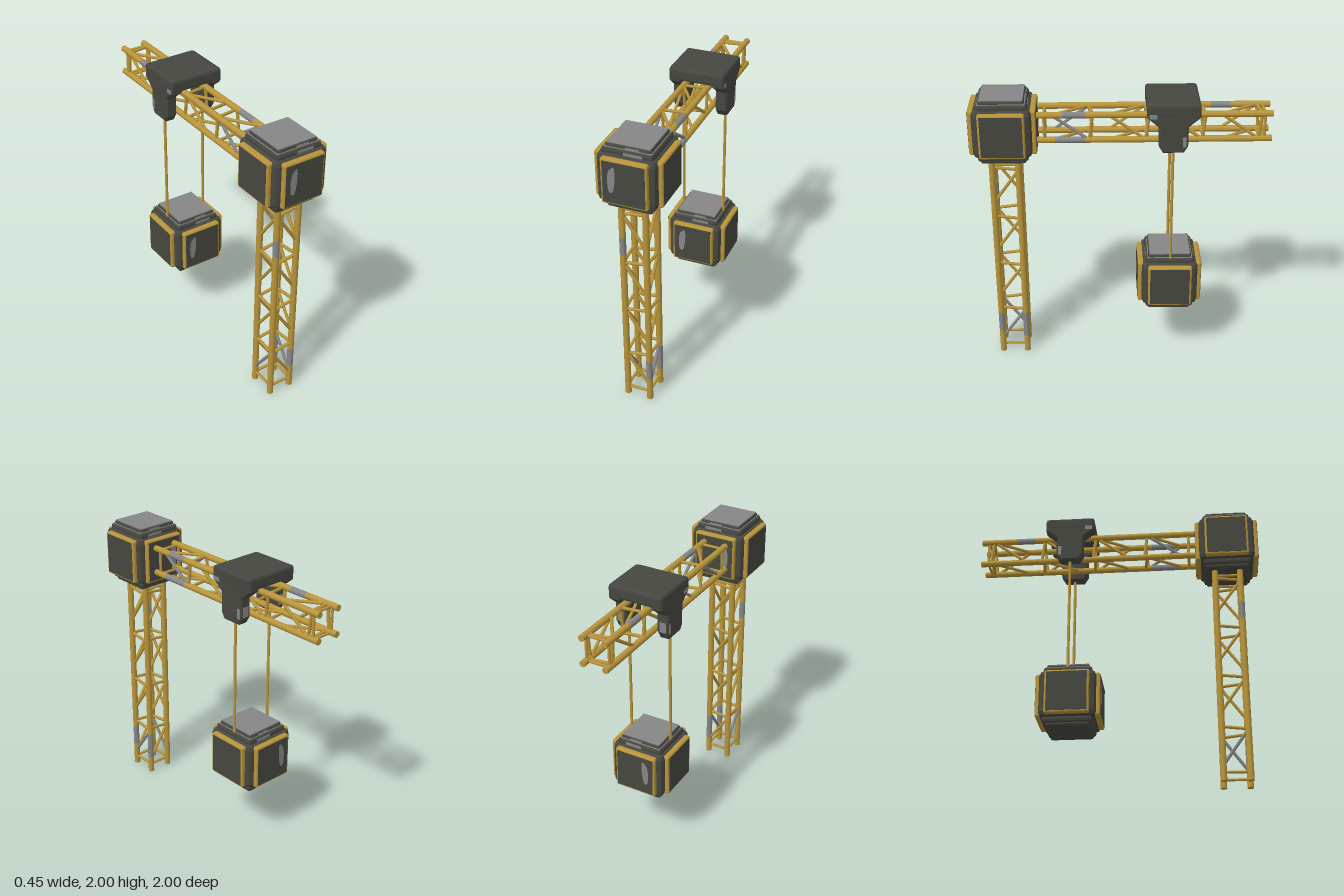
import * as THREE from 'three';
import { RoundedBoxGeometry } from 'three/addons/geometries/RoundedBoxGeometry.js';

const mat = (name, color, extra = {}) => {
  const m = new THREE.MeshStandardMaterial({ color, ...extra });
  m.name = name;
  return m;
};

export function createModel() {
  const yellow = mat('yellow paint', 0xb8943a);
  const dark = mat('dark casing', 0x464740);
  const steel = mat('bare steel', 0x868686, { side: THREE.DoubleSide });

  const add = (parent, name, geo, material, x = 0, y = 0, z = 0) => {
    const m = new THREE.Mesh(geo, material);
    m.name = name;
    m.position.set(x, y, z);
    parent.add(m);
    return m;
  };

  const rod = (parent, name, a, b, r, material, sides = 12) => {
    const va = new THREE.Vector3(...a), vb = new THREE.Vector3(...b);
    const d = vb.clone().sub(va);
    const m = add(parent, name, new THREE.CylinderGeometry(r, r, d.length(), sides), material);
    m.position.copy(va).add(vb).multiplyScalar(0.5);
    m.quaternion.setFromUnitVectors(new THREE.Vector3(0, 1, 0), d.normalize());
    return m;
  };

  // Box with faceted, bevelled edges
  const bevelBox = (w, h, d, r) => {
    const g = new RoundedBoxGeometry(w, h, d, 1, r);
    g.computeVertexNormals();
    return g;
  };

  // Lattice column, built upright from y = 0
  const truss = (name, length) => {
    const g = new THREE.Group();
    g.name = name;
    const X = 0.081, Z = 0.088, R = 0.0215;
    // Chords, each with a worn stretch where the paint is gone
    const worn = { '1,1': [0.18, 0.33], '1,-1': [0.13, 0.33], '-1,1': [1.17, 1.3] };
    for (const sx of [-1, 1]) for (const sz of [-1, 1]) {
      const w = worn[`${sx},${sz}`];
      const cuts = w ? [0, w[0], w[1], length] : [0, length];
      for (let i = 0; i + 1 < cuts.length; i++) {
        rod(g, i === 1 ? 'wornChord' : 'chord', [sx * X, cuts[i], sz * Z], [sx * X, cuts[i + 1], sz * Z],
          R, i === 1 ? steel : yellow, 16);
      }
    }
    // Each face runs from its low corner to its high corner
    const faces = [
      { low: [X, Z], high: [-X, Z] },
      { low: [X, -Z], high: [-X, -Z] },
      { low: [X, Z], high: [X, -Z], worn: true },
      { low: [-X, -Z], high: [-X, Z], worn: true },
    ];
    for (const f of faces) {
      const at = (c, y) => [c[0], y, c[1]];
      for (const y of [0.06, 1.515]) rod(g, 'strut', at(f.low, y), at(f.high, y), 0.01, yellow, 8);
      for (let i = 0; i < 4; i++) {
        const y = i * 0.373;
        rod(g, 'diagonal', at(f.low, y + 0.11), at(f.high, y + 0.355), 0.011, f.worn && i === 0 ? steel : yellow, 8);
        rod(g, 'tiltedStrut', at(f.high, y + 0.357), at(f.low, y + 0.378), 0.011, yellow, 8);
      }
    }
    return g;
  };

  // Worn spot outline on a block face
  const scuff = new THREE.Shape(new THREE.SplineCurve([
    [-0.095, 0.08], [-0.06, 0.108], [-0.055, 0.03], [-0.07, -0.06], [-0.098, -0.06], [-0.105, 0.02], [-0.095, 0.08],
  ].map(p => new THREE.Vector2(...p))).getPoints(24));

  // Armoured cube with stepped ends and framed side plates
  const block = (name) => {
    const g = new THREE.Group();
    g.name = name;
    add(g, 'core', bevelBox(0.39, 0.335, 0.39, 0.035), dark);
    add(g, 'lowerStep', bevelBox(0.335, 0.4, 0.335, 0.018), dark);
    add(g, 'endStep', bevelBox(0.3, 0.445, 0.3, 0.015), dark);
    add(g, 'topLedge', new THREE.BoxGeometry(0.31, 0.006, 0.31), steel, 0, 0.199, 0);
    add(g, 'topCap', new THREE.BoxGeometry(0.282, 0.006, 0.282), steel, 0, 0.222, 0);
    for (let i = 0; i < 4; i++) {
      const side = new THREE.Group();
      side.name = 'sidePlate';
      side.rotation.y = i * Math.PI / 2;
      add(side, 'plateFrame', bevelBox(0.304, 0.31, 0.05, 0.012), yellow, 0, 0, 0.197);
      add(side, 'platePanel', new THREE.BoxGeometry(0.276, 0.282, 0.008), dark, 0, 0, 0.2195);
      g.add(side);
    }
    for (const s of [-1, 1]) {
      add(g, 'scuff', new THREE.ShapeGeometry(scuff), steel, 0, 0, s * 0.2242);
      add(g, 'wornEdge', new THREE.BoxGeometry(0.12, 0.018, 0.004), steel, 0.04, 0.176, s * 0.167);
      add(g, 'wornEdge', new THREE.BoxGeometry(0.09, 0.012, 0.004), steel, 0.03, 0.206, s * 0.15);
    }
    return g;
  };

  const crane = new THREE.Group();
  crane.name = 'crane';

  const mast = truss('mast', 1.58);
  mast.position.set(-0.004, 0, 0.775);
  const boom = truss('boom', 1.565);
  boom.position.set(-0.004, 1.781, 0.565);
  boom.rotation.x = -Math.PI / 2;

  const head = block('headBlock');
  head.position.set(0, 1.775, 0.776);
  const load = block('loadBlock');
  load.position.set(0, 0.62, -0.34);

  // Trolley saddle: a slab over the boom with a cheek on each side
  const trolley = new THREE.Group();
  trolley.name = 'trolley';
  trolley.position.z = -0.342;
  add(trolley, 'saddle', bevelBox(0.39, 0.09, 0.35, 0.018), dark, 0, 1.938, 0);
  const half = [[0.163, 1.95], [0.163, 1.893], [0.085, 1.828], [0.085, 1.69], [0.062, 1.652]];
  const outline = [...half, ...half.map(([u, y]) => [-u, y]).reverse()];
  const cheek = new THREE.ExtrudeGeometry(new THREE.Shape(outline.map(p => new THREE.Vector2(...p))), {
    depth: 0.06, bevelEnabled: true, bevelSize: 0.011, bevelThickness: 0.011, bevelSegments: 1,
  });
  cheek.translate(0, 0, -0.03).rotateY(Math.PI / 2);
  for (const s of [-1, 1]) {
    add(trolley, 'cheek', cheek, dark, s * 0.153, 0, 0);
    add(trolley, 'wornCorner', new THREE.BoxGeometry(0.004, 0.07, 0.024), steel, s * 0.1935, 1.72, -0.072);
    add(trolley, 'wornCorner', new THREE.BoxGeometry(0.004, 0.03, 0.05), steel, s * 0.1935, 1.9, 0.135);
    add(trolley, 'wornEnd', new THREE.BoxGeometry(0.045, 0.07, 0.004), steel, s * 0.155, 1.73, -0.0955);
  }

  // Hoist rods
  for (const s of [-1, 1]) {
    rod(crane, 'hoistRod', [s * 0.153, 0.79, -0.342], [s * 0.153, 1.7, -0.342], 0.01, yellow);
  }

  crane.add(mast, boom, head, load, trolley);
  return crane;
}
